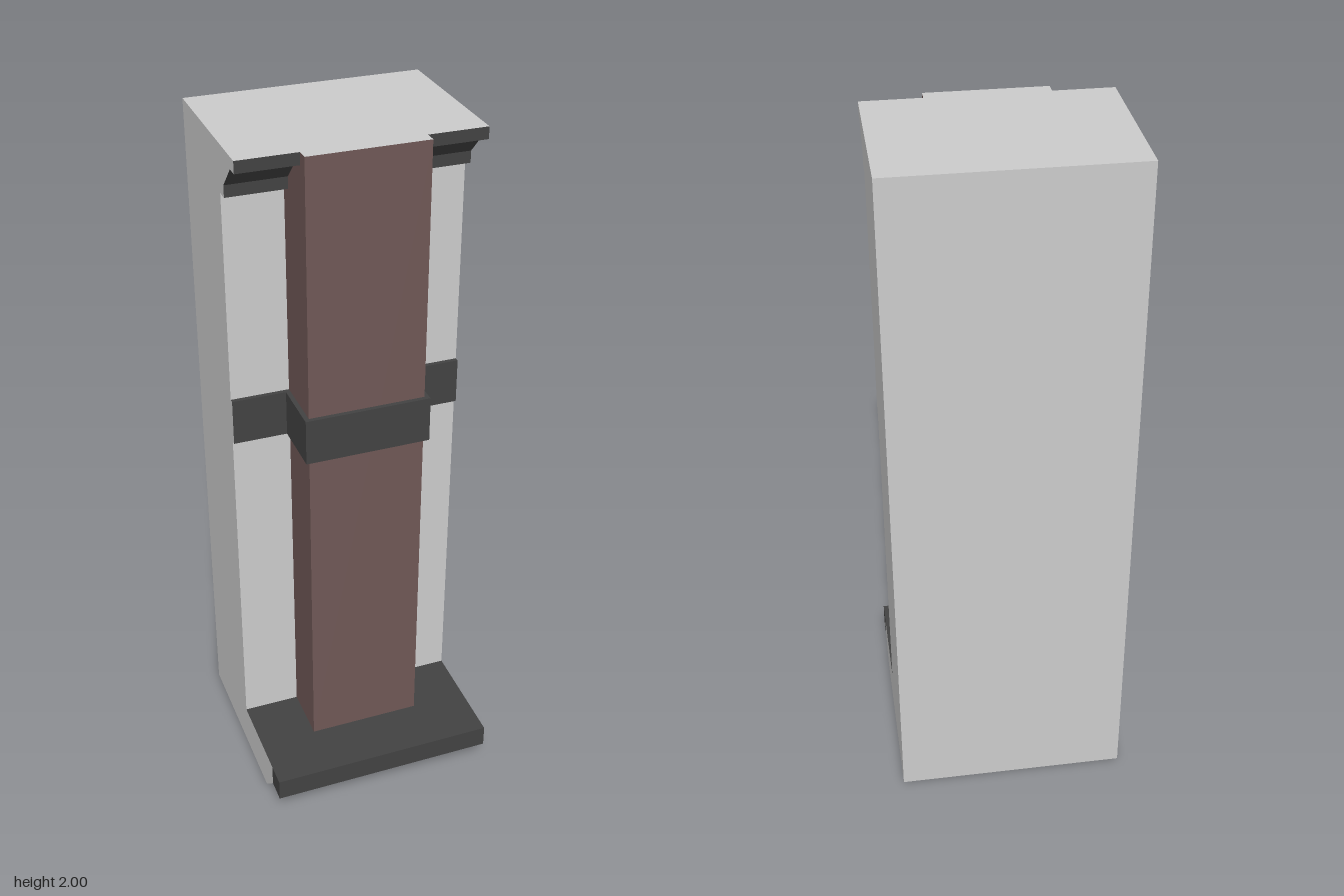
import * as THREE from 'three';
import { ConvexGeometry } from 'three/addons/geometries/ConvexGeometry.js';

const mat = (color) => new THREE.MeshStandardMaterial({ color, flatShading: true });

export function createModel() {
  const model = new THREE.Group();
  const grey = mat(0xcccccc), dark = mat(0x424242), brown = mat(0x6f5856);

  // Adds a mesh; faces whose normal passes isGrey are grey, the rest take the main material
  function add(name, geometry, main, isGrey = () => false) {
    const geo = geometry.index ? geometry.toNonIndexed() : geometry;
    const n = geo.attributes.normal;
    geo.clearGroups();
    for (let i = 0; i < n.count; i += 3)
      geo.addGroup(i, 3, isGrey(n.getX(i), n.getY(i)) ? 1 : 0);
    const mesh = new THREE.Mesh(geo, [main, grey]);
    mesh.name = name;
    model.add(mesh);
  }

  // Box given by its limits
  function box(x0, x1, y0, y1, z0, z1) {
    return new THREE.BoxGeometry(x1 - x0, y1 - y0, z1 - z0)
      .translate((x0 + x1) / 2, (y0 + y1) / 2, (z0 + z1) / 2);
  }

  // Side profile of [z, y] points, extruded from x0 to x1
  function prism(profile, x0, x1) {
    const shape = new THREE.Shape(profile.map(([z, y]) => new THREE.Vector2(z, y)));
    return new THREE.ExtrudeGeometry(shape, { depth: x1 - x0, bevelEnabled: false })
      .rotateY(-Math.PI / 2).translate(x1, 0, 0);
  }

  const W = 1 / 3, C = 1 / 6, U = 1 / 15; // half width, column half width, trim unit
  const onEnds = (nx) => Math.abs(nx) > 0.9;
  const onTop = (nx, ny) => ny > 0.9;

  // Main block and the column standing against it
  add('body', box(-W, W, 0, 2, -W, 0), grey);
  add('column', box(-C, C, 2 * U, 2, 0, C), brown, onTop);

  // Plinth with grey ends and underside, and a mitred skirting along its front
  add('plinth', prism([[0, 0], [0.2, 0], [4 * U, U], [4 * U, 2 * U], [0, 2 * U]], -W, W),
    dark, (nx, ny) => onEnds(nx) || ny < -0.9);
  const corners = [];
  for (const s of [-1, 1]) {
    for (const z of [4 * U, W]) {
      for (const y of [U, 2 * U]) corners.push(new THREE.Vector3(s * W, y, z));
      corners.push(new THREE.Vector3(s * (W - U), 0, z - U));
    }
  }
  add('skirting', new ConvexGeometry(corners), dark);

  // Stepped cornice on each side of the column
  const cornice = [[0, 2 - 2 * U], [U / 2, 2 - 2 * U], [U / 2, 1.9], [0.1, 2 - U / 2],
    [2 * U, 2 - U / 2], [2 * U, 2], [0, 2]];
  for (const [name, x0, x1] of [['leftCornice', C, W], ['rightCornice', -W, -C]])
    add(name, prism(cornice, x0, x1), dark, (nx, ny) => onEnds(nx) || onTop(nx, ny));

  // Band across the block, stepping out around the column
  const y0 = 1.133, y1 = 1.267, t = 0.013;
  add('wallBand', box(-W, W, y0, y1, 0, t), dark, onEnds);
  add('columnBand', box(-C - t, C + t, y0, y1, 0, C + t), dark);

  return model;
}
